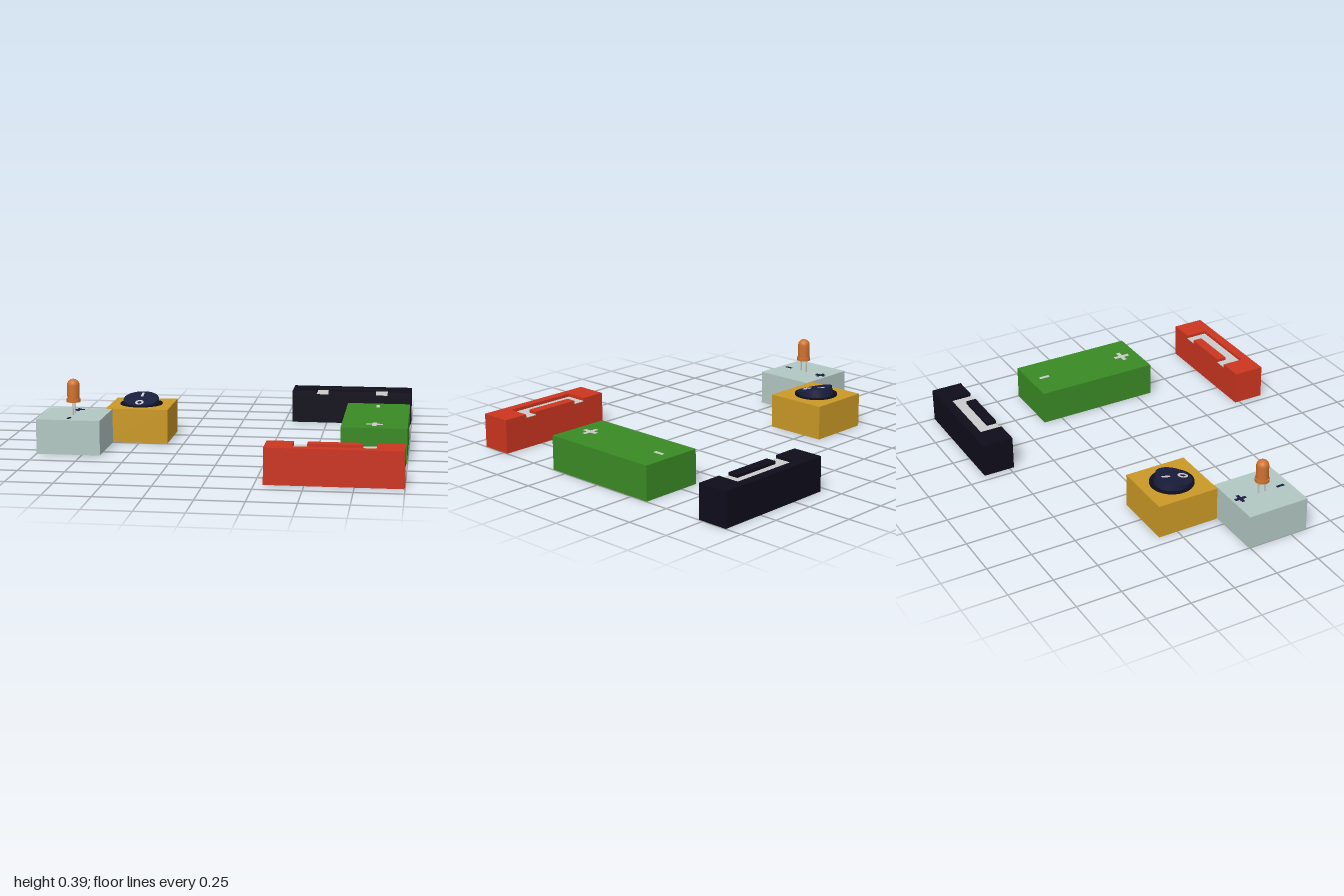
import * as THREE from 'three';

const H = 0.19;        // block height
const GROOVE = 0.02;   // depth of the contact grooves

const mat = (color) => new THREE.MeshStandardMaterial({ color });
const GREY = mat(0xcccccc), NAVY = mat(0x1a1e3e), BLACK = mat(0x0f0d1b), RED = mat(0xcc3520);
const GREEN = mat(0x3a8a24), YELLOW = mat(0xcb9926), PALE = mat(0xb3c8c3), ORANGE = mat(0xd0722e);

function add(parent, name, geometry, material, x = 0, y = 0, z = 0) {
  const m = new THREE.Mesh(geometry, material);
  m.name = name;
  m.position.set(x, y, z);
  parent.add(m);
  return m;
}

// box given by its x, y and z ranges
function box(parent, name, material, [x0, x1], [y0, y1], [z0, z1]) {
  return add(parent, name, new THREE.BoxGeometry(x1 - x0, y1 - y0, z1 - z0), material,
    (x0 + x1) / 2, (y0 + y1) / 2, (z0 + z1) / 2);
}

// thin raised bar on a top surface
function bar(parent, name, material, x, y, z, w, d) {
  return add(parent, name, new THREE.BoxGeometry(w, 0.004, d), material, x, y, z);
}

function plusMark(parent, material, x, z, size, t) {
  const arm = (size - t) / 2, off = (size + t) / 4;
  bar(parent, 'plusMark', material, x, H, z, t, size);
  for (const s of [-1, 1]) bar(parent, 'plusMarkArm', material, x + s * off, H, z, arm, t);
}

// end block with a U-shaped metal contact sunk into its top, open toward local -z
function contactBlock(name, material) {
  const g = new THREE.Group();
  g.name = name;
  const floor = H - GROOVE;
  const [x0, x1, a0, a1, b0, b1] = [0.295, 0.998, 0.435, 0.855, 0.505, 0.785];
  const [z0, z1, za, zb] = [0.723, 0.9, 0.848, 0.78];
  box(g, 'blockBase', material, [x0, x1], [0, floor], [z0, z1]);

  // rim around the groove; shape y is -z once laid flat
  const rim = new THREE.Shape([[x0, z0], [a0, z0], [a0, za], [a1, za], [a1, z0], [x1, z0], [x1, z1], [x0, z1]]
    .map(([x, z]) => new THREE.Vector2(x, -z)));
  const rimGeo = new THREE.ExtrudeGeometry(rim, { depth: GROOVE, bevelEnabled: false });
  rimGeo.rotateX(-Math.PI / 2);
  add(g, 'blockRim', rimGeo, material, 0, floor, 0);
  box(g, 'blockIsland', material, [b0, b1], [floor, H], [z0, zb]);

  // metal strip on the groove floor
  const y = [floor, floor + 0.003];
  box(g, 'contactStrip', GREY, [a0, a1], y, [zb, za]);
  box(g, 'contactLeg', GREY, [a0, b0], y, [z0, zb]);
  box(g, 'contactLeg', GREY, [b1, a1], y, [z0, zb]);
  return g;
}

function lampBlock() {
  const g = new THREE.Group();
  g.name = 'lampBlock';
  box(g, 'lampBase', PALE, [-1, -0.65], [0, H], [-0.005, 0.345]);
  const x = -0.83, z = 0.173;
  plusMark(g, NAVY, x, 0.043, 0.065, 0.018);
  bar(g, 'minusMark', NAVY, x, H, 0.289, 0.015, 0.044);

  // bulb with flange and domed top
  const profile = [[0, 0.26], [0.039, 0.26], [0.039, 0.278], [0.034, 0.278], [0.034, 0.353]]
    .map(([r, y]) => new THREE.Vector2(r, y));
  const bulb = new THREE.Group();
  bulb.name = 'bulb';
  bulb.position.set(x, 0, z);
  g.add(bulb);
  for (let i = 0; i < profile.length - 1; i++) {
    add(bulb, 'bulbBody', new THREE.LatheGeometry([profile[i], profile[i + 1]], 32), ORANGE);
  }
  add(bulb, 'bulbDome', new THREE.SphereGeometry(0.034, 32, 12, 0, Math.PI * 2, 0, Math.PI / 2), ORANGE, 0, 0.353, 0);
  for (const s of [-1, 1]) {
    add(bulb, 'bulbLeg', new THREE.BoxGeometry(0.008, 0.075, 0.008), GREY, 0, 0.225, s * 0.02);
  }
  return g;
}

function switchBlock() {
  const g = new THREE.Group();
  g.name = 'switchBlock';
  box(g, 'switchBase', YELLOW, [-0.69, -0.34], [0, H], [-0.36, -0.01]);
  const x = -0.518, z = -0.185;
  add(g, 'switchBezel', new THREE.CylinderGeometry(0.12, 0.12, 0.012, 48), BLACK, x, H, z);

  // round rocker tilted up at the back
  const rocker = new THREE.Group();
  rocker.name = 'rocker';
  rocker.position.set(x, 0.222, z + 0.012);
  rocker.rotation.x = 0.24;
  g.add(rocker);
  add(rocker, 'rockerCap', new THREE.CylinderGeometry(0.1, 0.1, 0.06, 48), NAVY, 0, -0.03, 0);
  bar(rocker, 'onMark', GREY, 0, 0, -0.05, 0.014, 0.05);
  const ring = new THREE.Shape().absellipse(0, 0, 0.024, 0.029, 0, Math.PI * 2);
  ring.holes.push(new THREE.Path().absellipse(0, 0, 0.012, 0.017, 0, Math.PI * 2));
  const ringGeo = new THREE.ExtrudeGeometry(ring, { depth: 0.002, bevelEnabled: false, curveSegments: 24 });
  ringGeo.rotateX(-Math.PI / 2);
  add(rocker, 'offMark', ringGeo, GREY, 0, 0, 0.056);
  return g;
}

function batteryBlock() {
  const g = new THREE.Group();
  g.name = 'batteryBlock';
  box(g, 'batteryBase', GREEN, [0.645, 0.997], [0, H], [-0.36, 0.343]);
  plusMark(g, GREY, 0.82, 0.243, 0.092, 0.022);
  bar(g, 'minusMark', GREY, 0.82, H, -0.27, 0.02, 0.06);
  return g;
}

export function createModel() {
  const model = new THREE.Group();
  model.name = 'circuitBlocks';
  model.add(lampBlock(), switchBlock(), batteryBlock());
  model.add(contactBlock('positiveContactBlock', RED));

  // rear contact block: half turn about its own middle
  const rear = contactBlock('negativeContactBlock', BLACK);
  rear.rotation.y = Math.PI;
  rear.position.x = 0.295 + 0.998;
  model.add(rear);
  return model;
}
